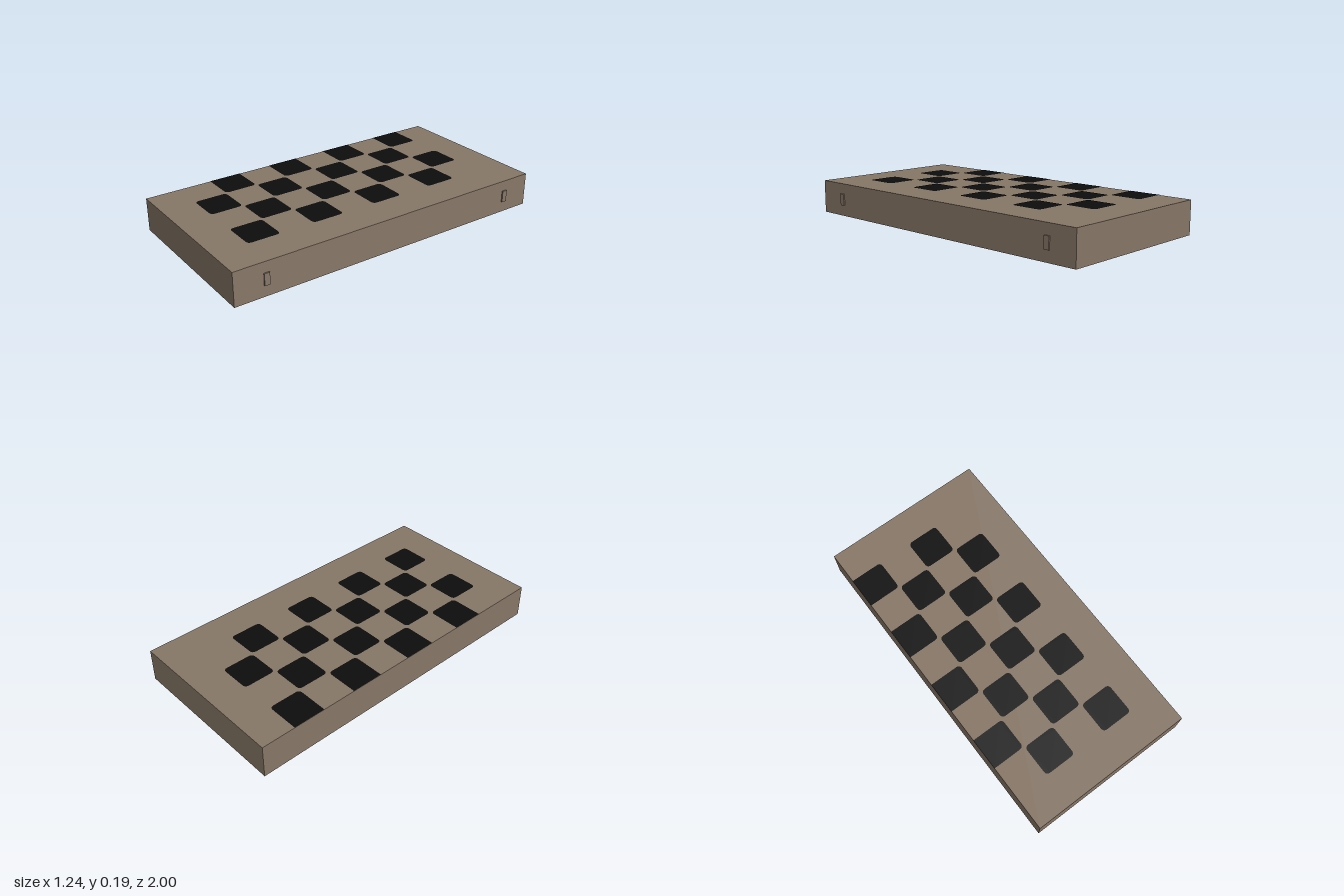
import * as THREE from 'three';

const W = 0.934, L = 1.868, H = 0.186; // slab size
const CELL = W / 5;
const LIFT = 0.0015; // painted panels sit just off the surface

const taupe = new THREE.MeshStandardMaterial({ color: 0x887868 });
taupe.name = 'taupe';
const black = new THREE.MeshStandardMaterial({ color: 0x0d0d0d });
black.name = 'black';

// Flat panel over x0..x1, z0..z1; radii run (x0,z0), (x1,z0), (x1,z1), (x0,z1)
function panel(name, x0, x1, z0, z1, radii, up) {
  const f = up ? -1 : 1;
  const corners = [[x0, z0], [x1, z0], [x1, z1], [x0, z1]].map(([x, z]) => new THREE.Vector2(x, f * z));
  const shape = new THREE.Shape();
  corners.forEach((c, i) => {
    const toward = (o) => c.clone().add(o.clone().sub(c).setLength(radii[i]));
    const a = radii[i] ? toward(corners[(i + 3) % 4]) : c;
    const b = radii[i] ? toward(corners[(i + 1) % 4]) : c;
    if (i === 0) shape.moveTo(a.x, a.y); else shape.lineTo(a.x, a.y);
    if (radii[i]) shape.quadraticCurveTo(c.x, c.y, b.x, b.y);
  });
  shape.closePath();
  const mesh = new THREE.Mesh(new THREE.ShapeGeometry(shape, 6), black);
  mesh.rotation.x = up ? -Math.PI / 2 : Math.PI / 2;
  mesh.position.y = up ? H + LIFT : -LIFT;
  mesh.name = name;
  return mesh;
}

export function createModel() {
  const model = new THREE.Group();
  model.name = 'checkeredSlab';
  const slab = new THREE.Group();
  slab.name = 'slab';
  slab.rotation.y = -Math.PI / 18;
  model.add(slab);

  const body = new THREE.Mesh(new THREE.BoxGeometry(W, H, L), taupe);
  body.position.y = H / 2;
  body.name = 'body';
  slab.add(body);

  // Checker squares: eight rows, alternating between four columns
  const r = 0.024, gap = 0.0025;
  for (let row = 0; row < 8; row++) {
    for (let col = row % 2; col < 4; col += 2) {
      const x = -W / 2 + col * CELL, z = (row - 4) * CELL;
      const edge = col === 0;
      const rl = edge ? 0 : r;
      slab.add(panel('checkerSquare', x + (edge ? 0 : gap), x + CELL - gap,
        z + gap, z + CELL - gap, [rl, r, r, rl], true));
    }
  }

  // Underside: two long side strips and two end blocks
  const end = L / 2 - CELL;
  slab.add(panel('undersideStrip', CELL, W / 2, -end, end, [r, 0, 0, r], false));
  slab.add(panel('undersideStrip', -W / 2, -CELL, -end, end, [0, r, r, 0], false));
  slab.add(panel('undersideEnd', -CELL, CELL, -L / 2, -end, [0, 0, r, r], false));
  slab.add(panel('undersideEnd', -CELL, CELL, end, L / 2, [r, r, 0, 0], false));

  // Small raised tabs on one long side
  for (const z of [0.759, -0.768]) {
    const tab = new THREE.Mesh(new THREE.BoxGeometry(0.014, 0.066, 0.03), taupe);
    tab.position.set(W / 2, 0.094, z);
    tab.name = 'sideTab';
    slab.add(tab);
  }
  return model;
}
